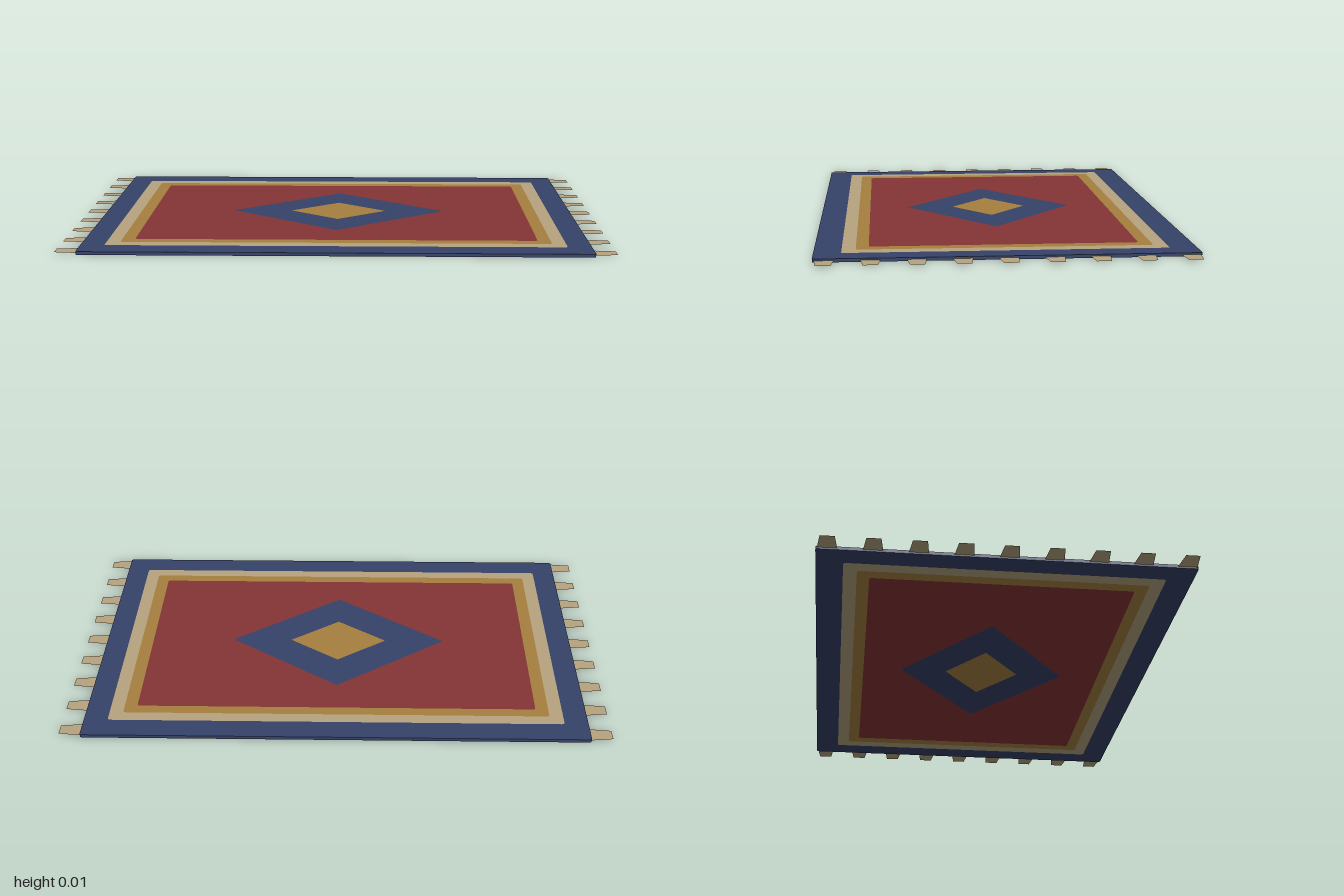
import * as THREE from 'three';

const THICKNESS = 0.012;

// Rectangle with slightly rounded corners, given its half sizes
function rectangle(hx, hz, r = 0.01) {
  const s = new THREE.Shape();
  s.moveTo(-hx + r, -hz);
  s.lineTo(hx - r, -hz);
  s.quadraticCurveTo(hx, -hz, hx, -hz + r);
  s.lineTo(hx, hz - r);
  s.quadraticCurveTo(hx, hz, hx - r, hz);
  s.lineTo(-hx + r, hz);
  s.quadraticCurveTo(-hx, hz, -hx, hz - r);
  s.lineTo(-hx, -hz + r);
  s.quadraticCurveTo(-hx, -hz, -hx + r, -hz);
  return s;
}

function polygon(points) {
  return new THREE.Shape(points.map(([x, y]) => new THREE.Vector2(x, y)));
}

function diamond(hx, hz) {
  return polygon([[hx, 0], [0, hz], [-hx, 0], [0, -hz]]);
}

export function createModel() {
  const material = (name, color, side = THREE.FrontSide) => {
    const m = new THREE.MeshStandardMaterial({ color, side });
    m.name = name;
    return m;
  };
  const navy = material('navy wool', 0x354268);
  const cream = material('cream wool', 0xb6a37f, THREE.DoubleSide);
  const gold = material('gold wool', 0xa67f3e);
  const red = material('red wool', 0x853435);

  const rug = new THREE.Group();
  rug.name = 'rug';

  // Woven areas nest inside each other and show on both faces of the rug
  const areas = [
    ['outerBorder', rectangle(0.922, 0.655), navy],
    ['creamBand', rectangle(0.835, 0.561), cream],
    ['goldBand', rectangle(0.785, 0.513), gold],
    ['field', rectangle(0.738, 0.469), red],
    ['medallion', diamond(0.417, 0.32), navy],
    ['medallionCentre', diamond(0.187, 0.142), gold],
  ];
  areas.forEach(([name, outline, mat], i) => {
    const shape = outline.clone();
    if (i + 1 < areas.length) shape.holes.push(areas[i + 1][1]);
    const geometry = new THREE.ExtrudeGeometry(shape, {
      depth: THICKNESS, bevelEnabled: false, curveSegments: 3,
    });
    geometry.rotateX(-Math.PI / 2);
    const mesh = new THREE.Mesh(geometry, mat);
    mesh.name = name;
    rug.add(mesh);
  });

  // Flat tapered tassels along both short ends
  const tassel = new THREE.ShapeGeometry(polygon([
    [0.92, -0.034], [1, -0.025], [1, 0.025], [0.92, 0.034],
  ]));
  tassel.rotateX(-Math.PI / 2);
  for (const side of ['left', 'right']) {
    const fringe = new THREE.Group();
    fringe.name = side + 'Fringe';
    for (let i = -4; i <= 4; i++) {
      const mesh = new THREE.Mesh(tassel, cream);
      mesh.name = 'tassel';
      mesh.position.set(0, THICKNESS / 2, i * 0.154);
      fringe.add(mesh);
    }
    if (side === 'right') fringe.rotation.y = Math.PI;
    rug.add(fringe);
  }
  return rug;
}
